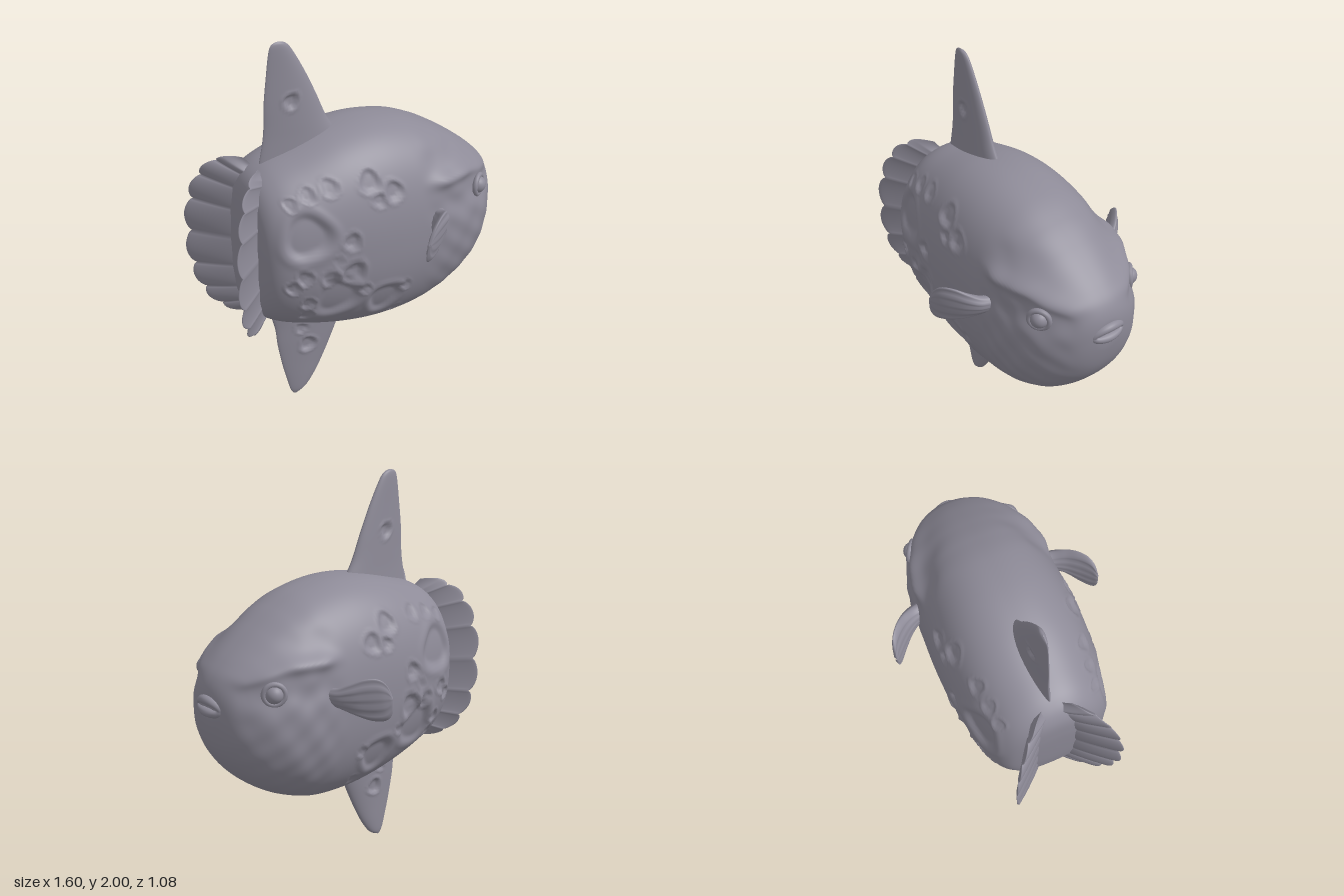
import * as THREE from 'three';

const skin = new THREE.MeshStandardMaterial({ color: 0x8e8b98 });
skin.name = 'greySkin';

const spow = (v, p) => Math.sign(v) * Math.pow(Math.abs(v), p);
const gauss = (x, s) => Math.exp(-(x * x) / (s * s));
const smooth = THREE.MathUtils.smoothstep;

// Closed tube of rings: point(t, a) with t 0..1 along and a 0..2PI around.
function loft(name, rows, cols, point) {
  const pos = [], index = [];
  for (let i = 0; i <= rows; i++)
    for (let j = 0; j < cols; j++) pos.push(...point(i / rows, (j / cols) * Math.PI * 2));
  for (let i = 0; i < rows; i++)
    for (let j = 0; j < cols; j++) {
      const k = (j + 1) % cols;
      const a = i * cols + j, b = i * cols + k, c = a + cols, d = b + cols;
      index.push(a, b, c, b, d, c);
    }
  // Turn the faces outward if the enclosed volume is negative.
  const p = (n) => new THREE.Vector3().fromArray(pos, n * 3);
  let volume = 0;
  for (let i = 0; i < index.length; i += 3)
    volume += p(index[i]).dot(p(index[i + 1]).cross(p(index[i + 2])));
  if (volume < 0) index.reverse();
  const geo = new THREE.BufferGeometry();
  geo.setAttribute('position', new THREE.Float32BufferAttribute(pos, 3));
  geo.setIndex(index);
  geo.computeVertexNormals();
  const mesh = new THREE.Mesh(geo, skin);
  mesh.name = name;
  return mesh;
}

// Smooth lookups through rows of four values.
function sampler(table) {
  const a = new THREE.SplineCurve(table.map((r) => new THREE.Vector2(r[0], r[1])));
  const b = new THREE.SplineCurve(table.map((r) => new THREE.Vector2(r[2], r[3])));
  return (t) => {
    const p = a.getPoint(t), q = b.getPoint(t);
    return [p.x, p.y, q.x, q.y];
  };
}

// Pits in the skin: [along, height, radius]
const pits = [
  [-0.41, 1.13, 0.125], [-0.38, 1.32, 0.035], [-0.27, 1.34, 0.04], [-0.07, 1.33, 0.055],
  [0.05, 1.26, 0.05], [-0.04, 1.24, 0.035], [-0.2, 1.07, 0.045], [-0.44, 0.92, 0.04],
  [-0.31, 0.89, 0.045], [-0.19, 0.89, 0.065], [-0.26, 0.76, 0.125], [0.01, 0.67, 0.1],
  [-0.4, 0.67, 0.035], [0.11, 0.54, 0.03], [-0.49, 0.87, 0.035], [-0.41, 0.76, 0.035],
  [-0.27, 0.98, 0.025], [-0.12, 0.78, 0.03], [0.12, 0.72, 0.03], [-0.47, 1.29, 0.03],
  [-0.33, 1.7, 0.04], [-0.26, 0.31, 0.045], [-0.3, 0.42, 0.03],
];
function pitDepth(u, y) {
  let depth = 0;
  for (const [pu, py, r] of pits) {
    const ang = Math.atan2(y - py, u - pu);
    const d = Math.hypot(u - pu, y - py) / (r * (1 + 0.08 * Math.sin(ang * 3 + pu * 40)));
    if (d > 1.6) continue;
    depth += Math.min(0.026, r * 0.35) * (1 - smooth(d, 0.6, 1)) - 0.005 * gauss(d - 1.12, 0.15);
  }
  return depth;
}

// Rows of: along, half width, top, bottom
const bodyAt = sampler([
  [-0.61, 0, 0.98, 0.98], [-0.605, 0.15, 1.18, 0.78], [-0.58, 0.25, 1.32, 0.64],
  [-0.5, 0.315, 1.4, 0.57], [-0.35, 0.355, 1.455, 0.51], [-0.15, 0.38, 1.51, 0.455],
  [0.05, 0.385, 1.525, 0.425], [0.25, 0.375, 1.495, 0.43], [0.4, 0.365, 1.435, 0.475],
  [0.52, 0.34, 1.365, 0.535], [0.62, 0.295, 1.295, 0.61], [0.7, 0.23, 1.23, 0.7],
  [0.755, 0.16, 1.17, 0.8], [0.785, 0.08, 1.1, 0.92], [0.79, 0, 1.02, 1.02],
]);
function bodyPoint(t, a) {
  const [u, hw, top, bot] = bodyAt(t);
  const y = (top + bot) / 2 + ((top - bot) / 2) * spow(Math.sin(a), 0.87);
  let w = hw * spow(Math.cos(a), 0.87);
  const side = Math.cos(a) * Math.min(1, hw / 0.2);
  // brow ridge with a hollow above it, cheek hollow below
  const head = smooth(u, 0.2, 0.4) * (1 - smooth(u, 0.7, 0.78));
  const ridge = 1.235 - 0.06 * smooth(u, 0.5, 0.75);
  let out = head * (0.04 * gauss(y - ridge, 0.035) - 0.025 * gauss(y - ridge - 0.1, 0.06));
  out -= head * 0.014 * gauss(y - 1.1, 0.06);
  // faint lumps on the cheeks and jaw
  out += 0.004 * head * Math.sin(u * 38 + y * 9) * Math.sin(y * 34);
  w += side * (out - pitDepth(u, y));
  return [u, y, w];
}

// Upright fin from rows of: height, trailing edge, leading edge, thickness
function uprightFin(name, table) {
  const at = sampler(table);
  return loft(name, 70, 64, (t, a) => {
    const [y, back, front, thick] = at(t);
    const c = Math.cos(a), s = Math.sin(a);
    const u = (back + front) / 2 + ((front - back) / 2) * c;
    const w = (thick / 2) * spow(s, 1.2) * (1 + 0.3 * c);
    return [u, y, w - s * Math.min(pitDepth(u, y), Math.abs(w) * 0.6)];
  });
}

// Side fin from rows of: along, outward, middle height, half height
const pectoralAt = sampler([
  [0.31, 0.3, 1.05, 0.045], [0.295, 0.38, 1.05, 0.055], [0.26, 0.44, 1.05, 0.085],
  [0.21, 0.49, 1.05, 0.112], [0.16, 0.53, 1.05, 0.112], [0.128, 0.55, 1.05, 0.075],
  [0.115, 0.558, 1.05, 0.005],
]);
function pectoralFin(name, side) {
  return loft(name, 40, 40, (t, a) => {
    const [u, w, y, h] = pectoralAt(t);
    const c = Math.cos(a), s = Math.sin(a);
    const thick = (0.04 * (1 - t) + 0.007) * s + 0.004 * Math.sin(c * 14) * t * (1 - t) * 4;
    return [u + thick * 0.85 + 0.25 * h * c, y + h * c, side * (w + thick * 0.5)];
  });
}

// Scalloped, pleated tail fan splayed to one side
function tailFan(name, side) {
  const lobes = 8;
  return loft(name, 144, 28, (t, a) => {
    const phi = (t - 0.5) * Math.PI;
    const lobe = Math.pow(Math.abs(Math.sin(t * lobes * Math.PI)), 0.6);
    const r = 0.92 + 0.08 * lobe;
    const k = 0.5 + 0.5 * Math.cos(a);
    const reach = k * (0.1 + 0.31 * Math.pow(Math.cos(phi), 0.75)) * r;
    const y = 0.985 + spow(Math.sin(phi), 0.9) * (0.34 + 0.1 * k * r);
    const end = Math.min(1, Math.min(t, 1 - t) * 14);
    const off = (0.028 * (1 - k) + 0.012) * Math.sin(a) * end + 0.014 * k * (lobe - 0.6) * end;
    return [-0.47 - reach * 0.73 - off * 0.68, y, side * (reach * 0.68 + 0.01 - off * 0.73)];
  });
}

function eye(name, side) {
  const group = new THREE.Group();
  group.name = name;
  const ball = new THREE.Mesh(new THREE.SphereGeometry(0.045, 24, 16), skin);
  ball.name = name + 'Ball';
  const lid = new THREE.Mesh(new THREE.TorusGeometry(0.05, 0.014, 10, 32), skin);
  lid.name = name + 'Lid';
  lid.position.z = 0.006;
  group.add(ball, lid);
  group.position.set(0.6, 1.115, side * 0.268);
  group.rotation.y = side > 0 ? 0.62 : Math.PI - 0.62;
  return group;
}

// Lips: flattened ring bent round the snout
function lips() {
  return loft('lips', 64, 16, (t, a) => {
    const b = t * Math.PI * 2;
    const r = 0.018 + 0.005 * Math.abs(Math.sin(b));
    const w = Math.cos(b) * (0.085 + r * Math.cos(a));
    const y = 1.03 + Math.sin(b) * (0.03 + r * Math.cos(a)) - 1.2 * w * w;
    return [0.79 + r * 1.1 * Math.sin(a) - 3 * w * w, y, w];
  });
}

export function createModel() {
  const fish = new THREE.Group();
  fish.name = 'sunfish';
  fish.add(loft('body', 200, 220, bodyPoint));
  fish.add(uprightFin('dorsalFin', [
    [1.38, -0.5, -0.02, 0.11], [1.5, -0.475, -0.085, 0.09], [1.58, -0.465, -0.13, 0.08],
    [1.7, -0.46, -0.18, 0.066], [1.83, -0.445, -0.24, 0.05], [1.94, -0.43, -0.3, 0.036],
    [1.985, -0.415, -0.335, 0.024], [2, -0.385, -0.375, 0.004],
  ]));
  fish.add(uprightFin('analFin', [
    [0.57, -0.47, 0.03, 0.11], [0.45, -0.435, -0.04, 0.09], [0.33, -0.42, -0.09, 0.075],
    [0.2, -0.395, -0.15, 0.056], [0.1, -0.37, -0.205, 0.042], [0.03, -0.35, -0.26, 0.026],
    [0, -0.33, -0.315, 0.004],
  ]));
  for (const [label, side] of [['right', 1], ['left', -1]]) {
    fish.add(pectoralFin(label + 'PectoralFin', side));
    fish.add(tailFan(label + 'TailFan', side));
    fish.add(eye(label + 'Eye', side));
  }
  fish.add(lips());
  // The fish swims slightly away from the front
  fish.rotation.y = 0.314;
  fish.position.set(0.008, 0, 0.024);
  const model = new THREE.Group();
  model.name = 'model';
  model.add(fish);
  return model;
}
